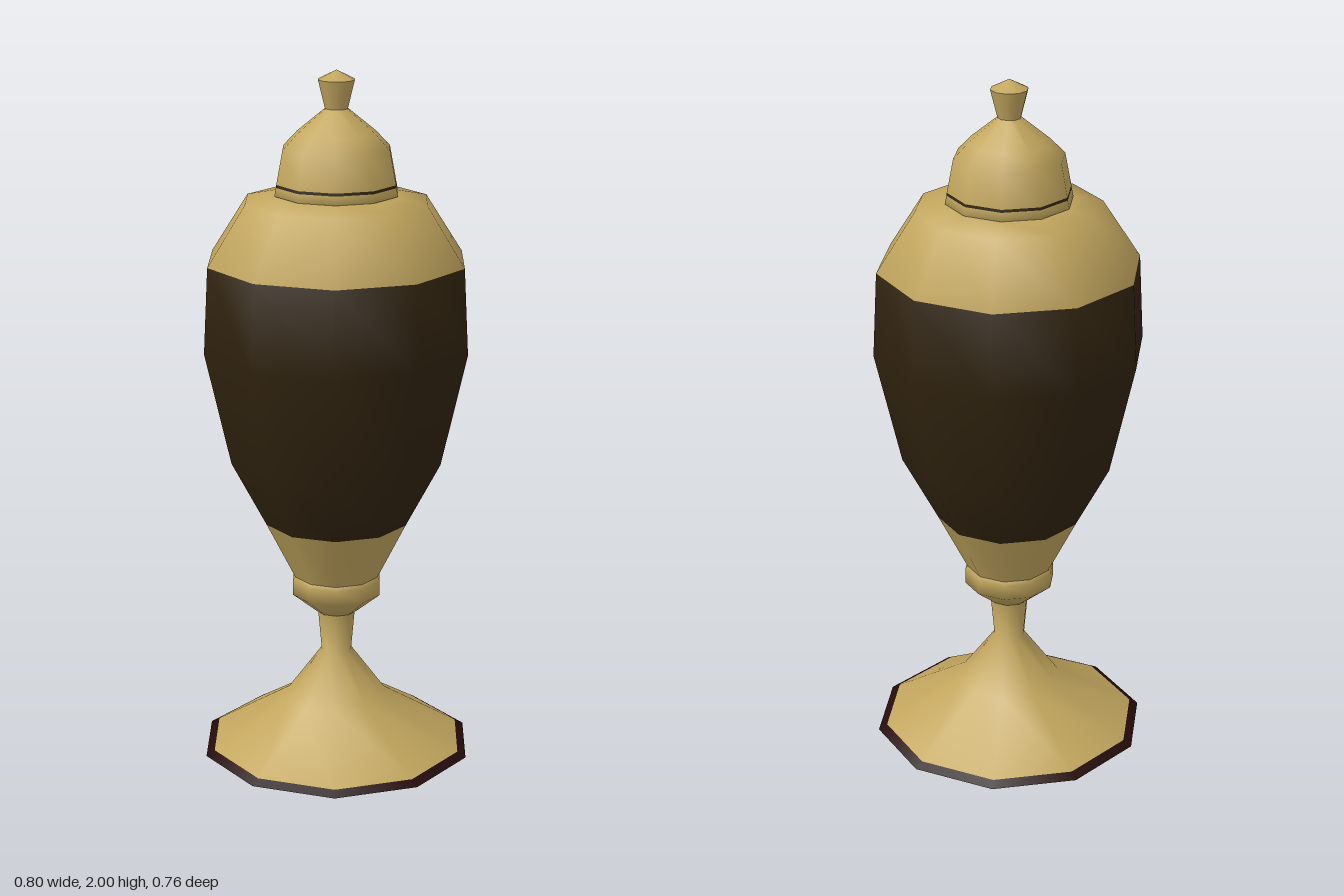
import * as THREE from 'three';

const SIDES = 10;

function material(name, color) {
  const m = new THREE.MeshStandardMaterial({ color, side: THREE.DoubleSide });
  m.name = name;
  return m;
}

// Ten-sided turned part. Each profile point is [radius, height, colour index of the band above it].
function turned(name, profile, materials) {
  const points = profile.map(([r, y]) => new THREE.Vector2(r, y));
  const geometry = new THREE.LatheGeometry(points, SIDES, Math.PI / 2);
  const bands = profile.length - 1;
  for (let side = 0; side < SIDES; side++) {
    for (let band = 0; band < bands; band++) {
      geometry.addGroup((side * bands + band) * 6, 6, profile[band][2] ?? 0);
    }
  }
  const mesh = new THREE.Mesh(geometry, materials);
  mesh.name = name;
  return mesh;
}

export function createModel() {
  const model = new THREE.Group();
  model.name = 'lidded urn';

  const materials = [
    material('antique gold', 0xc2a65e),
    material('dark bronze', 0x30230f),
    material('dark red trim', 0x240a0a),
  ];
  const GOLD = 0, BRONZE = 1, TRIM = 2;

  const parts = {
    // hollow flared foot rising into the stem
    foot: [[0.4, 0, TRIM], [0.375, 0.015, GOLD], [0.148, 0.153], [0.045, 0.295], [0.056, 0.417]],
    // small cup between stem and body
    collar: [[0, 0.412], [0.06, 0.417], [0.132, 0.476], [0.132, 0.52], [0.125, 0.532]],
    // vessel with a broad dark band
    body: [
      [0.125, 0.53, GOLD], [0.21, 0.7, BRONZE], [0.312, 0.894, BRONZE], [0.387, 1.222, BRONZE],
      [0.374, 1.468, GOLD], [0.265, 1.637], [0.17, 1.657],
    ],
    // domed lid with a thin dark line near its edge
    lid: [
      [0.165, 1.652, GOLD], [0.18, 1.657, GOLD], [0.175, 1.681, BRONZE], [0.174, 1.689, GOLD],
      [0.156, 1.783], [0.115, 1.826], [0.032, 1.894],
    ],
    // flared finial with a shallow cap
    finial: [[0.032, 1.89], [0.053, 1.973]],
    finialCap: [[0.053, 1.973], [0, 2]],
  };

  for (const [name, profile] of Object.entries(parts)) {
    model.add(turned(name, profile, materials));
  }
  return model;
}
